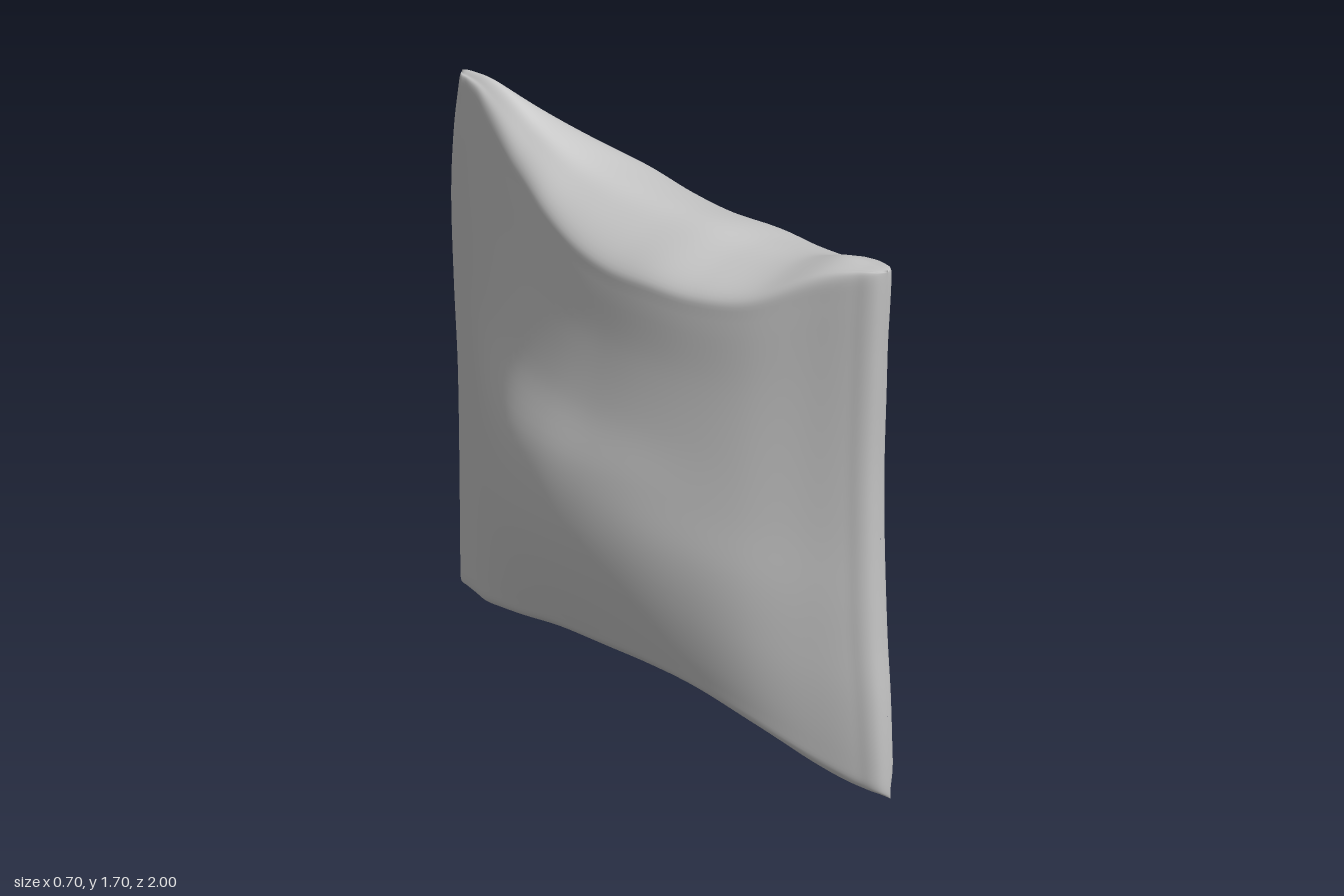
import * as THREE from 'three';

// Stations along the cushion, back to front:
// s, top, bottom, top crease, bottom crease, right width, left width, right top ratio
const stations = [
  [-1.0, 1.675, 0.036, 1.66, 0.05, 0.0, 0.0, 0.9],
  [-0.985, 1.68, 0.034, 1.66, 0.05, 0.024, 0.024, 0.9],
  [-0.95, 1.685, 0.032, 1.66, 0.05, 0.035, 0.032, 0.85],
  [-0.88, 1.69, 0.032, 1.65, 0.052, 0.062, 0.045, 0.7],
  [-0.8, 1.68, 0.045, 1.62, 0.065, 0.11, 0.075, 0.57],
  [-0.6, 1.62, 0.1, 1.54, 0.13, 0.232, 0.21, 0.48],
  [-0.4, 1.575, 0.15, 1.49, 0.19, 0.328, 0.3, 0.52],
  [-0.2, 1.56, 0.178, 1.46, 0.235, 0.375, 0.315, 0.59],
  [0.0, 1.56, 0.182, 1.455, 0.25, 0.383, 0.315, 0.66],
  [0.2, 1.57, 0.18, 1.475, 0.25, 0.362, 0.315, 0.73],
  [0.4, 1.575, 0.17, 1.49, 0.22, 0.313, 0.29, 0.8],
  [0.6, 1.605, 0.13, 1.53, 0.155, 0.24, 0.245, 0.85],
  [0.8, 1.675, 0.045, 1.63, 0.07, 0.135, 0.117, 0.87],
  [0.92, 1.69, 0.018, 1.67, 0.035, 0.07, 0.065, 0.9],
  [0.98, 1.697, 0.008, 1.68, 0.03, 0.032, 0.032, 0.9],
  [1.0, 1.698, 0.003, 1.68, 0.03, 0.0, 0.0, 0.9],
];

function interpolate(points) {
  const n = points[0].length - 1;
  const curve = new THREE.CubicInterpolant(
    points.map((p) => p[0]), points.flatMap((p) => p.slice(1)), n);
  return (t) => curve.evaluate(t);
}

const sectionAt = interpolate(stations);
// How far the front and back seams reach at each height
const frontSeam = interpolate([[-0.1, 1], [0, 1], [0.3, 0.985], [0.5, 0.967], [1, 0.952], [1.4, 0.97], [1.7, 0.988], [1.8, 0.988]]);
const backSeam = interpolate([[-0.1, 0.958], [0, 0.958], [0.7, 0.964], [1, 0.985], [1.3, 0.998], [1.5, 0.985], [1.7, 0.957], [1.8, 0.957]]);

// Closed outline across the cushion: up the right side, over the top, down the left
function outline(s) {
  const [top, bottom, cTop, cBottom, wR, wL, ratio] = sectionAt(s);
  const shoulder = 0.84 + 0.1 * s;
  const y = (u) => cBottom + (cTop - cBottom) * u;
  const side = (sign, w, rows) => rows.map(([u, f]) => [sign * w * f, y(u)]);
  const taper = (k) => ratio + (1 - ratio) * k;
  const right = side(-1, wR, [
    [0, 0.76], [0.05, 0.85], [0.2, 0.96], [0.34, 1], [0.48, 0.96],
    [0.63, taper(0.47)], [0.79, taper(0.18)], [0.94, taper(0.03)], [1, ratio * 0.93]]);
  const left = side(1, wL, [
    [1, shoulder], [0.95, shoulder + 0.04], [0.85, 0.93], [0.72, 1], [0.53, 0.993],
    [0.34, 1], [0.2, 0.97], [0.08, 0.9], [0.03, 0.85]]);
  const points = [
    ...right,
    [-wR * ratio * 0.5, cTop + (top - cTop) * 0.65], [0, top], [wL * 0.45, cTop + (top - cTop) * 0.68],
    ...left,
    [wL * 0.45, cBottom + (bottom - cBottom) * 0.6], [0, bottom], [-wR * 0.42, bottom],
  ];
  return new THREE.CatmullRomCurve3(
    points.map(([px, py]) => new THREE.Vector3(px + 0.03, py, 0)), true, 'catmullrom', 0.5);
}

function cushionGeometry(rings = 96, around = 144) {
  const positions = [];
  const index = [];
  for (let i = 0; i <= rings; i++) {
    // Rings gather toward the two seams
    const s = -Math.cos((i / rings) * Math.PI);
    const curve = outline(s);
    for (let j = 0; j < around; j++) {
      const p = curve.getPoint(j / around);
      const reach = (s > 0 ? frontSeam : backSeam)(p.y)[0];
      positions.push(p.x, p.y, s * reach);
      if (i === rings) continue;
      const a = i * around + j;
      const b = i * around + ((j + 1) % around);
      index.push(a, a + around, b, b, a + around, b + around);
    }
  }
  const geometry = new THREE.BufferGeometry();
  geometry.setAttribute('position', new THREE.Float32BufferAttribute(positions, 3));
  geometry.setIndex(index);
  geometry.computeVertexNormals();
  return geometry;
}

export function createModel() {
  const group = new THREE.Group();
  group.name = 'pillow';
  const cushion = new THREE.Mesh(
    cushionGeometry(),
    new THREE.MeshStandardMaterial({ color: 0xcccccc }));
  cushion.name = 'cushion';
  group.add(cushion);
  return group;
}
